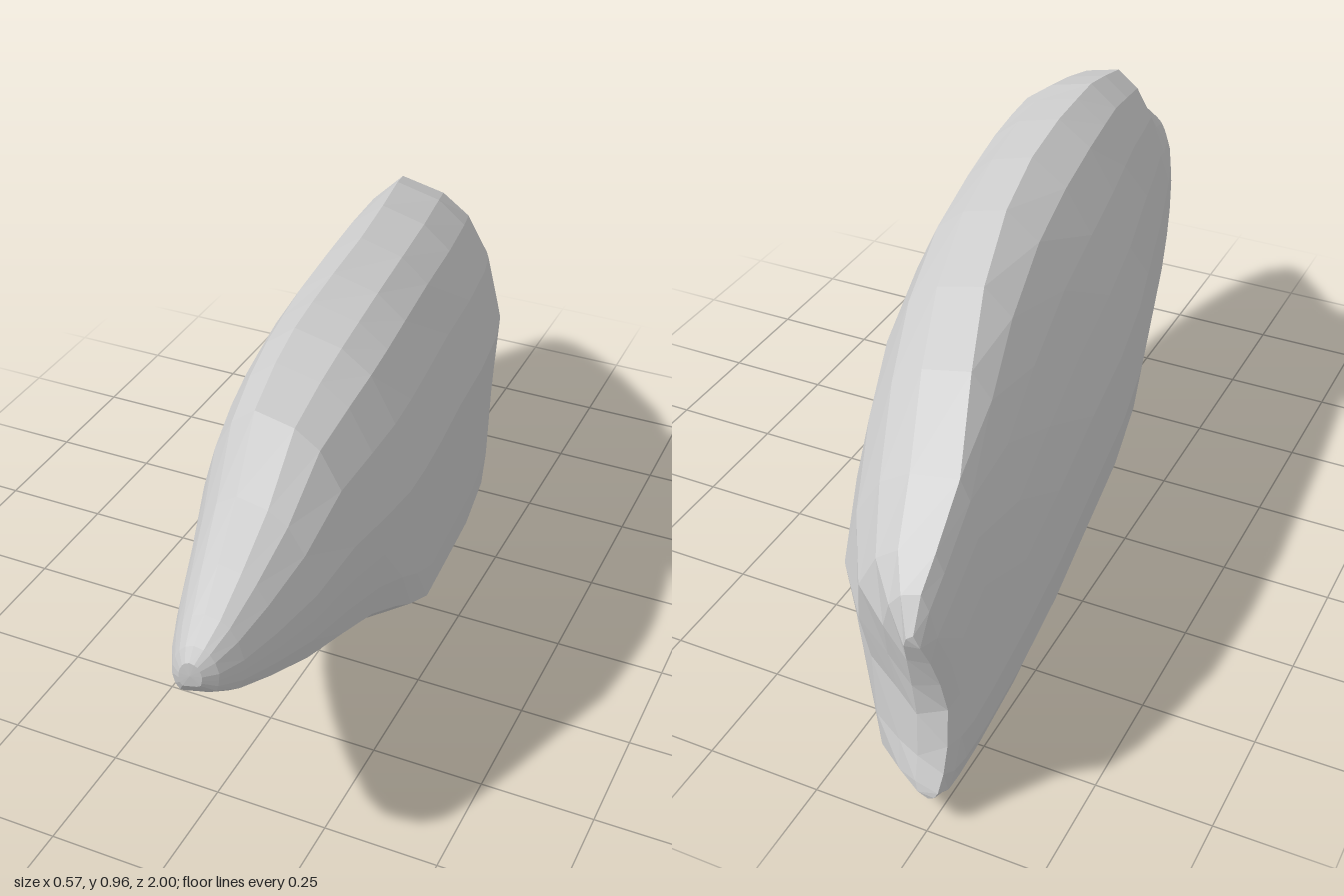
import * as THREE from 'three';

// Stations from back to front: z, xMin, xMax, yBottom, yTop, crest (0..1 across), keel (0..1 across)
const stations = [
  [-1.0, -0.272, -0.2, 0.065, 0.5, 0.45, 0.4],
  [-0.96, -0.282, -0.13, 0.035, 0.565, 0.3, 0.4],
  [-0.9, -0.285, -0.04, 0.015, 0.615, 0.2, 0.33],
  [-0.78, -0.285, 0.04, 0.0, 0.7, 0.18, 0.35],
  [-0.6, -0.283, 0.11, 0.005, 0.81, 0.31, 0.48],
  [-0.42, -0.275, 0.165, 0.025, 0.885, 0.4, 0.6],
  [-0.2, -0.255, 0.21, 0.06, 0.935, 0.46, 0.7],
  [0.0, -0.235, 0.235, 0.09, 0.957, 0.49, 0.7],
  [0.18, -0.205, 0.262, 0.13, 0.965, 0.47, 0.65],
  [0.3, -0.175, 0.277, 0.165, 0.962, 0.44, 0.6],
  [0.4, -0.15, 0.285, 0.195, 0.957, 0.42, 0.55],
  [0.5, -0.125, 0.278, 0.235, 0.935, 0.41, 0.5],
  [0.62, -0.09, 0.263, 0.29, 0.9, 0.41, 0.5],
  [0.74, -0.05, 0.237, 0.35, 0.785, 0.43, 0.5],
  [0.85, -0.01, 0.208, 0.413, 0.71, 0.46, 0.5],
  [0.93, 0.025, 0.18, 0.46, 0.655, 0.5, 0.5],
  [0.98, 0.055, 0.155, 0.503, 0.62, 0.5, 0.5],
  [1.0, 0.08, 0.13, 0.535, 0.595, 0.5, 0.5],
];

// Depth of the hollow in the back end, by height
const hollow = [[0, 0.03], [0.08, 0.02], [0.15, 0.05], [0.27, 0.065], [0.38, 0.04], [0.48, 0], [1, 0]];
function hollowAt(y) {
  const i = Math.max(1, hollow.findIndex(([height]) => y <= height));
  const [y0, d0] = hollow[i - 1], [y1, d1] = hollow[i];
  return THREE.MathUtils.mapLinear(y, y0, y1, d0, d1);
}

// Cross-section across (u) and up (v), counterclockwise seen from the front.
// The underside is a flat band that tilts up to the right towards the nose, leaving
// a low keel on the left; towards the back end the lower right side tapers in.
function section(c, k, z) {
  const tilt = THREE.MathUtils.smoothstep(z, 0.15, 0.52);
  const taper = THREE.MathUtils.smoothstep(-z, 0.45, 0.9);
  const right = (t) => c + (1 - c) * t;
  const mix = (a, b) => a + (b - a) * tilt;
  return [
    [mix(0.1, 0.15), mix(0.05, 0)], [mix(k * 0.5, 0.3), mix(0.02, 0.025)], [k, mix(0, 0.075)],
    [k + (1 - k) * 0.5, mix(0.025, 0.13)], [mix(0.95, 0.92) - 0.14 * taper, mix(0.07, 0.21)],
    [mix(0.97, 0.965) - 0.1 * taper, mix(0.18, 0.32)], [0.985 - 0.04 * taper, mix(0.4, 0.44)], [1, 0.58],
    [right(0.86), 0.78], [right(0.65), 0.91], [right(0.4), 0.97], [c, 1],
    [c * 0.65, 0.935], [c * 0.38, 0.82], [c * 0.18, 0.66], [0.02, 0.48], [0, mix(0.28, 0.3)],
    [mix(0.035, 0.05), mix(0.14, 0.11)],
  ];
}

function stoneGeometry() {
  const positions = [], index = [];
  const n = section(0.5, 0.5, 0).length;
  const push = (x, y, z) => {
    const fade = THREE.MathUtils.smoothstep(-z, 0.72, 0.97);
    positions.push(x, y, z + hollowAt(y) * fade);
  };
  for (const [z, x0, x1, y0, y1, c, k] of stations) {
    for (const [u, v] of section(c, k, z)) push(x0 + (x1 - x0) * u, y0 + (y1 - y0) * v, z);
  }
  // skin between neighbouring sections
  for (let i = 0; i < stations.length - 1; i++) {
    for (let j = 0; j < n; j++) {
      const a = i * n + j, b = i * n + (j + 1) % n;
      index.push(a, b, b + n, a, b + n, a + n);
    }
  }
  // back end: strips across the section, so the hollow runs straight through
  for (let j = 0; j < 9; j++) {
    const a = 2 + j, b = 3 + j, d = (n + 1 - j) % n, e = (n + 2 - j) % n;
    index.push(a, e, d, a, d, b);
  }
  // rounded nose tip
  const [z, x0, x1, y0, y1] = stations[stations.length - 1];
  const tip = positions.length / 3, ring = (stations.length - 1) * n;
  push((x0 + x1) / 2, (y0 + y1) / 2, z + 0.002);
  for (let j = 0; j < n; j++) index.push(tip, ring + j, ring + (j + 1) % n);

  const geometry = new THREE.BufferGeometry();
  geometry.setAttribute('position', new THREE.Float32BufferAttribute(positions, 3));
  geometry.setIndex(index);
  geometry.computeVertexNormals();
  return geometry;
}

export function createModel() {
  const group = new THREE.Group();
  group.name = 'rock';
  const stone = new THREE.Mesh(
    stoneGeometry(),
    new THREE.MeshStandardMaterial({ color: 0xcccccc, flatShading: true }),
  );
  stone.name = 'stone';
  group.add(stone);
  return group;
}
